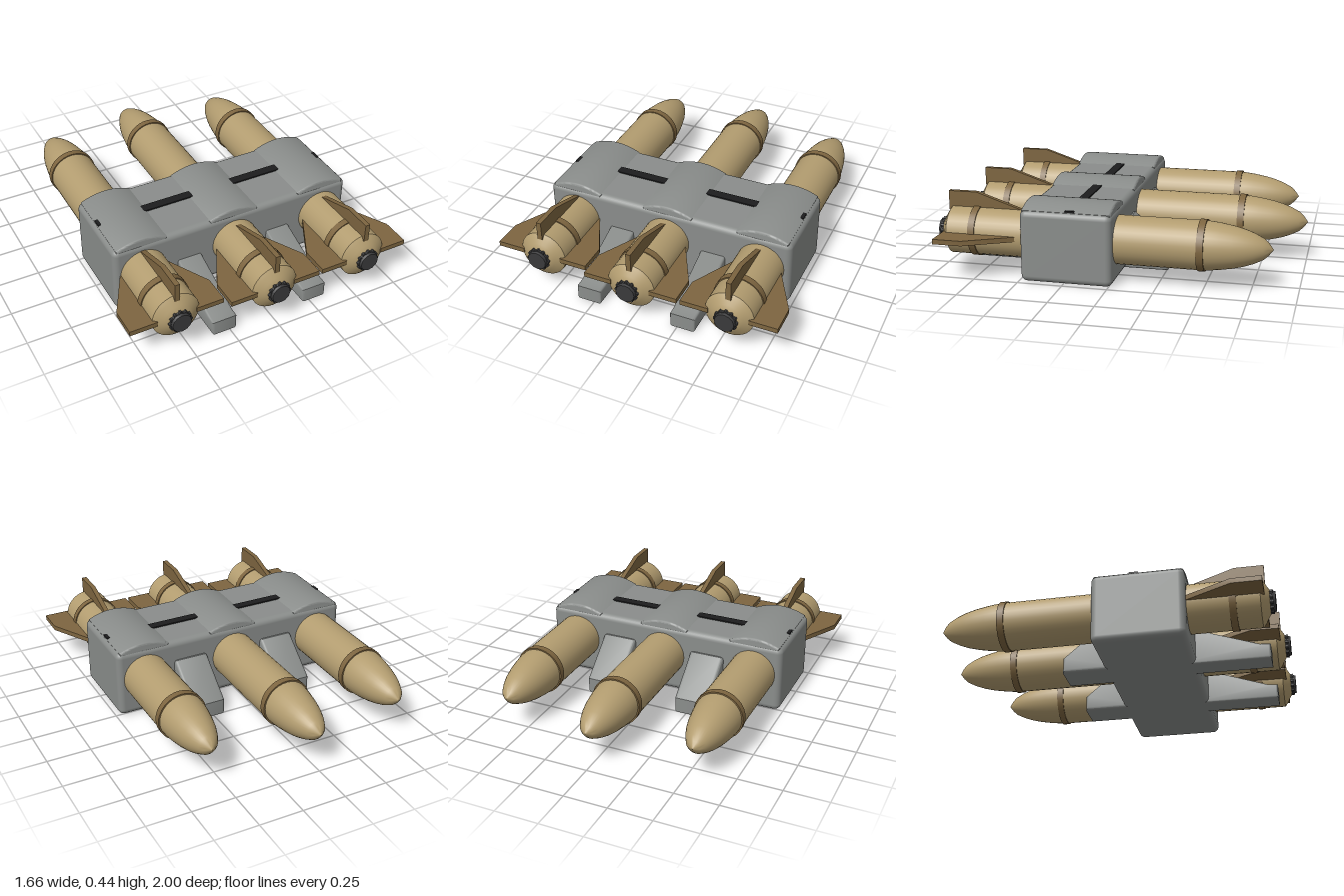
import * as THREE from 'three';
import { toCreasedNormals } from 'three/addons/utils/BufferGeometryUtils.js';
import { RoundedBoxGeometry } from 'three/addons/geometries/RoundedBoxGeometry.js';

const paint = (name, color) => {
  const m = new THREE.MeshStandardMaterial({ color });
  m.name = name;
  return m;
};

export function createModel() {
  const grey = paint('housing grey', 0x8a8d8b);
  const tan = paint('missile tan', 0xb39d70);
  const brown = paint('fin brown', 0x7d6540);
  const dark = paint('nozzle charcoal', 0x3a3a3b);
  const black = paint('strip black', 0x1d1d1e);

  const model = new THREE.Group();
  const add = (parent, name, geometry, material) => {
    const mesh = new THREE.Mesh(geometry, material);
    mesh.name = name;
    parent.add(mesh);
    return mesh;
  };
  const polygon = (pts) => new THREE.Shape(pts.map(([x, y]) => new THREE.Vector2(x, y)));

  // Extrusion centred on its depth, with edges bevelled inside the outline
  const extrude = (shape, depth, bevel = 0, curveSegments = 12) => {
    const g = new THREE.ExtrudeGeometry(shape, {
      depth: depth - 2 * bevel, bevelEnabled: bevel > 0, bevelThickness: bevel,
      bevelSize: bevel, bevelOffset: -bevel, bevelSegments: 3, curveSegments,
    });
    g.translate(0, 0, bevel - depth / 2);
    return toCreasedNormals(g, 0.6);
  };

  // Surface of revolution along z from [z, radius] pairs
  const turned = (profile) => {
    const g = new THREE.LatheGeometry(profile.map(([z, r]) => new THREE.Vector2(r, z)), 32);
    g.rotateX(Math.PI / 2);
    return toCreasedNormals(g, 0.5);
  };

  // Main housing
  add(model, 'housing', new RoundedBoxGeometry(1.46, 0.4, 0.51, 3, 0.035), grey)
    .position.set(0, 0.2, 0.235);

  // Arched covers above each missile
  const arch = new THREE.Shape();
  arch.moveTo(-0.15, -0.03);
  arch.lineTo(0.15, -0.03);
  arch.lineTo(0.15, 0);
  arch.quadraticCurveTo(0.075, 0.035, 0, 0.035);
  arch.quadraticCurveTo(-0.075, 0.035, -0.15, 0);
  for (const x of [-0.56, 0, 0.56]) {
    add(model, 'archedCover', extrude(arch, 0.495, 0.012), grey).position.set(x, 0.398, 0.235);
  }

  // Dark strip crossing the top
  add(model, 'topStrip', new THREE.BoxGeometry(1.415, 0.015, 0.052), black)
    .position.set(0, 0.4, 0.212);

  // Wedge supports beneath, drawn as [z, y] outlines
  const rail = polygon([[0.4, 0], [0.9, 0], [0.9, 0.085], [0.84, 0.09], [0.49, 0.21], [0.4, 0.21]]);
  const pod = polygon([[0.05, 0], [0.05, 0.28], [-0.03, 0.28], [-0.255, 0.09], [-0.255, 0]]);
  for (const side of [-1, 1]) {
    add(model, 'rearRail', extrude(rail, 0.145, 0.012).rotateY(-Math.PI / 2), grey)
      .position.x = side * 0.28;
    add(model, 'nosePod', extrude(pod, 0.205, 0.018).rotateY(-Math.PI / 2), grey)
      .position.x = side * 0.28;
  }

  // Toothed nozzle outline
  const teeth = [];
  for (let i = 0; i < 48; i++) {
    const a = ((i - 0.5) / 48) * Math.PI * 2;
    const r = i % 4 < 2 ? 0.066 : 0.058;
    teeth.push([Math.cos(a) * r, Math.sin(a) * r]);
  }

  // One missile: noseShift and tailShift slide its ends along z
  const missile = (name, x, noseShift, tailShift) => {
    const group = new THREE.Group();
    group.name = name;
    group.position.set(x, 0.225, 0);
    model.add(group);

    const nose = [[-1, 0], [-0.975, 0.033], [-0.95, 0.056], [-0.9, 0.081], [-0.85, 0.099],
      [-0.79, 0.114], [-0.72, 0.126], [-0.67, 0.132], [-0.6, 0.135]];
    const tail = [[0.925, 0.135], [0.94, 0.115], [0.957, 0.085], [0.97, 0.064], [0.975, 0]];
    add(group, 'body', turned([
      ...nose.map(([z, r]) => [z + noseShift, r]),
      ...tail.map(([z, r]) => [z + tailShift, r]),
    ]), tan);

    // Bands around the body
    for (const z of [-0.625 + noseShift, 0.78 + tailShift]) {
      const band = new THREE.CylinderGeometry(0.141, 0.141, 0.038, 32).rotateX(Math.PI / 2);
      add(group, 'band', band, brown).position.z = z;
    }

    // Nozzle
    add(group, 'nozzleRing', extrude(polygon(teeth), 0.02), dark).position.z = 0.977 + tailShift;
    const cap = new THREE.CylinderGeometry(0.054, 0.062, 0.025, 12).rotateX(Math.PI / 2);
    add(group, 'nozzleCap', toCreasedNormals(cap, 0.6), dark).position.z = 0.9875 + tailShift;

    // Two side fins and one upright fin
    [[0, 0.27], [Math.PI, 0.27], [Math.PI / 2, 0.22]].forEach(([angle, span]) => {
      const outline = polygon([[0.112, 0.49], [0.135, 0.53], [span, 0.785], [span, 0.947], [0.112, 0.947]]);
      const fin = extrude(outline, 0.028).rotateX(Math.PI / 2).rotateZ(angle);
      add(group, 'fin', fin, brown).position.z = tailShift;
    });
  };

  missile('rightMissile', -0.56, 0.095, -0.047);
  missile('centreMissile', 0, 0, 0);
  missile('leftMissile', 0.56, 0.14, 0);

  return model;
}
